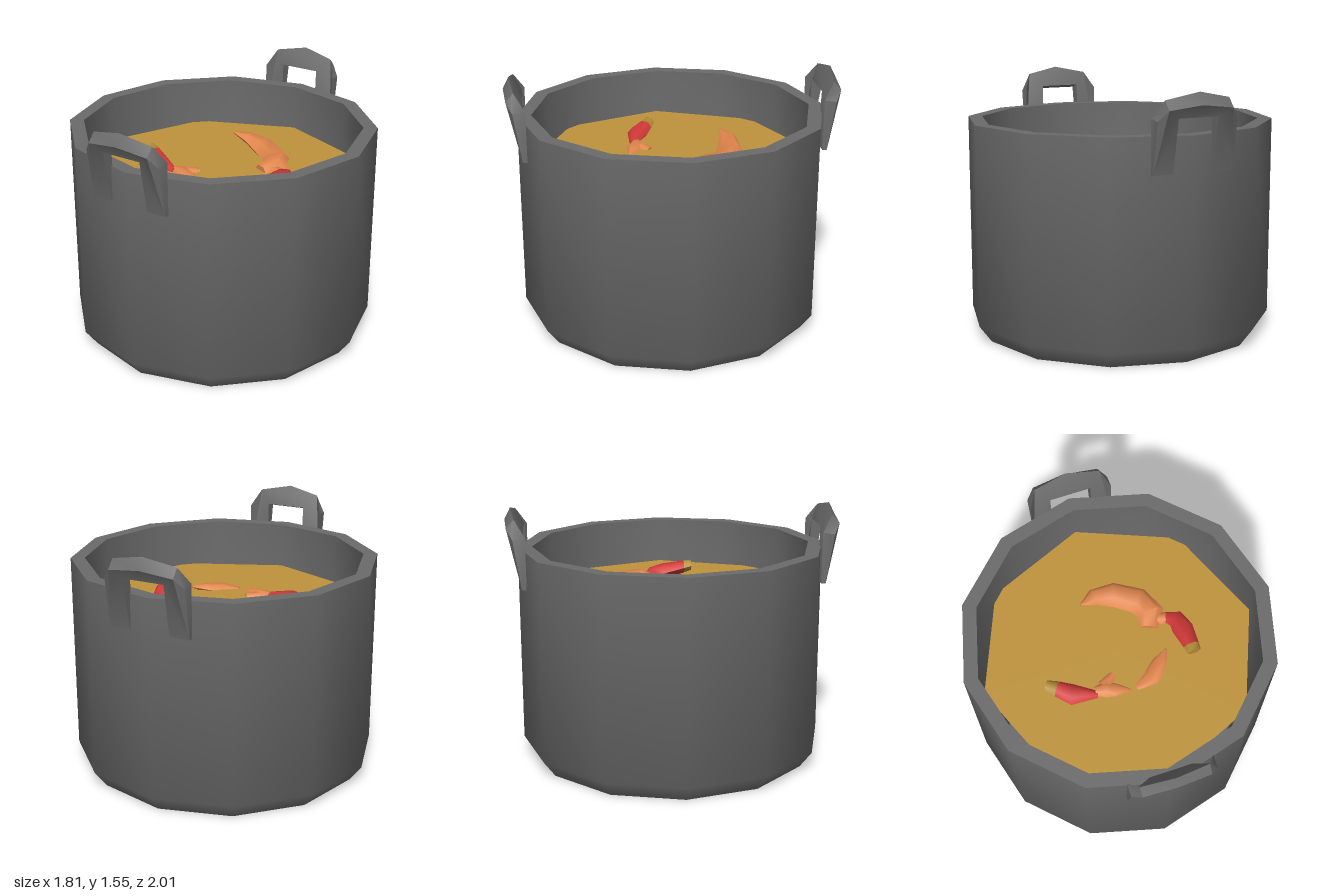
import * as THREE from 'three';
import { toCreasedNormals } from 'three/addons/utils/BufferGeometryUtils.js';

const makeMaterial = (name, color) => {
  const m = new THREE.MeshStandardMaterial({ color });
  m.name = name;
  return m;
};

// Low-poly tapered tube through stations [x, y, z, halfWidth, halfHeight], capped at both ends
function taperedTube(stations, sides = 6) {
  const pos = [], index = [];
  const n = stations.length;
  stations.forEach(([x, y, z, w, h], i) => {
    const p = stations[Math.max(0, i - 1)], q = stations[Math.min(n - 1, i + 1)];
    const t = new THREE.Vector3(q[0] - p[0], 0, q[2] - p[2]).normalize();
    for (let j = 0; j < sides; j++) {
      const a = (j / sides) * Math.PI * 2;
      const s = Math.cos(a) * w;
      pos.push(x - t.z * s, y + Math.sin(a) * h, z + t.x * s);
    }
  });
  for (let i = 0; i < n - 1; i++) {
    for (let j = 0; j < sides; j++) {
      const a = i * sides + j, b = i * sides + (j + 1) % sides;
      index.push(a, a + sides, b, b, a + sides, b + sides);
    }
  }
  // end caps
  const first = n * sides, last = first + 1, end = (n - 1) * sides;
  pos.push(...stations[0].slice(0, 3), ...stations[n - 1].slice(0, 3));
  for (let j = 0; j < sides; j++) {
    const k = (j + 1) % sides;
    index.push(first, j, k, last, end + k, end + j);
  }
  const g = new THREE.BufferGeometry();
  g.setAttribute('position', new THREE.Float32BufferAttribute(pos, 3));
  g.setIndex(index);
  g.computeVertexNormals();
  return toCreasedNormals(g, 1.1);
}

// Flat arch, then bent so that its upper part leans outwards
function handleGeometry() {
  const shape = new THREE.Shape([
    [-0.25, 1.1], [-0.125, 1.1], [-0.125, 1.43], [0.125, 1.43], [0.125, 1.1], [0.25, 1.1],
    [0.25, 1.41], [0.2, 1.51], [0, 1.55], [-0.2, 1.51], [-0.25, 1.41],
  ].map(([x, y]) => new THREE.Vector2(x, y)));
  const g = new THREE.ExtrudeGeometry(shape, { depth: 1, bevelEnabled: false });
  const p = g.attributes.position;
  for (let i = 0; i < p.count; i++) {
    const y = p.getY(i), lean = Math.max(0, y - 1.41);
    if (p.getZ(i) > 0.5) {
      p.setZ(i, 0.905 + (y - 1.1) * 0.15 + lean * 0.22);
      p.setY(i, y - Math.max(0, y - 1.38) * 0.41);
    } else {
      p.setZ(i, 0.878 + lean * 0.64);
    }
  }
  return toCreasedNormals(g, 0.6);
}

export function createModel() {
  const model = new THREE.Group();
  model.name = 'stewPot';
  const metal = makeMaterial('dark metal', 0x6b6b6b);
  const broth = makeMaterial('broth', 0xbf933c);
  const flesh = makeMaterial('orange flesh', 0xe0854c);
  const shell = makeMaterial('red shell', 0xd03838);
  const tip = makeMaterial('olive tip', 0xb08c36);

  const add = (parent, name, geometry, material) => {
    const mesh = new THREE.Mesh(geometry, material);
    mesh.name = name;
    parent.add(mesh);
    return mesh;
  };

  // Pot, handles and broth share one turn about the vertical axis
  const vessel = new THREE.Group();
  vessel.name = 'vessel';
  vessel.rotation.y = THREE.MathUtils.degToRad(17);
  model.add(vessel);

  const profile = [
    [0, 0], [0.855, 0], [0.93, 0.1], [0.93, 1.31],
    [0.845, 1.31], [0.845, 0.95], [0.77, 0.08], [0, 0.08],
  ].map(([x, y]) => new THREE.Vector2(x, y));
  add(vessel, 'potBody', toCreasedNormals(new THREE.LatheGeometry(profile, 12), 0.85), metal);

  const handle = handleGeometry();
  add(vessel, 'frontHandle', handle, metal);
  add(vessel, 'backHandle', handle, metal).rotation.y = Math.PI;

  const surface = add(vessel, 'brothSurface', new THREE.CircleGeometry(0.84, 8), broth);
  surface.rotation.x = -Math.PI / 2;
  surface.position.y = 1.03;

  // Large floating piece: curved body, shell and tip
  const large = new THREE.Group();
  large.name = 'largeSeafood';
  model.add(large);
  add(large, 'body', taperedTube([
    [-0.22, 1.13, -0.265, 0.006, 0.006], [-0.14, 1.1, -0.325, 0.055, 0.035],
    [-0.02, 1.06, -0.355, 0.08, 0.06], [0.13, 1.04, -0.32, 0.085, 0.06],
    [0.2, 1.04, -0.24, 0.085, 0.06], [0.19, 1.03, -0.145, 0.055, 0.035],
  ]), flesh);
  add(large, 'neck', taperedTube([
    [0.2, 1.03, -0.2, 0.04, 0.03], [0.3, 1.03, -0.21, 0.035, 0.03],
  ]), flesh);
  add(large, 'shell', taperedTube([
    [0.28, 1.03, -0.215, 0.03, 0.025], [0.35, 1.035, -0.2, 0.055, 0.045],
    [0.39, 1.05, -0.13, 0.065, 0.05], [0.435, 1.075, -0.01, 0.048, 0.04],
  ]), shell);
  add(large, 'tip', taperedTube([
    [0.435, 1.075, -0.01, 0.048, 0.04], [0.45, 1.085, 0.035, 0.042, 0.034],
  ]), tip);

  // Small piece, half sunk so that its body shows in two parts
  const small = new THREE.Group();
  small.name = 'smallSeafood';
  model.add(small);
  add(small, 'bodyEnd', taperedTube([
    [0.285, 1.05, 0.0, 0.006, 0.006], [0.245, 1.035, 0.08, 0.045, 0.03],
    [0.19, 1.025, 0.175, 0.055, 0.03], [0.1, 1.015, 0.235, 0.03, 0.02],
  ]), flesh);
  add(small, 'bodyMiddle', taperedTube([
    [0.07, 1.015, 0.25, 0.012, 0.02], [-0.02, 1.025, 0.245, 0.045, 0.025],
    [-0.08, 1.03, 0.24, 0.05, 0.03], [-0.145, 1.03, 0.25, 0.03, 0.025],
  ]), flesh);
  add(small, 'bodyLobe', taperedTube([
    [-0.09, 1.03, 0.22, 0.045, 0.025], [-0.04, 1.03, 0.145, 0.02, 0.015],
  ]), flesh);
  add(small, 'shell', taperedTube([
    [-0.13, 1.03, 0.27, 0.022, 0.02], [-0.28, 1.045, 0.272, 0.065, 0.045],
    [-0.37, 1.065, 0.24, 0.048, 0.038],
  ]), shell);
  add(small, 'tip', taperedTube([
    [-0.37, 1.065, 0.24, 0.048, 0.038], [-0.435, 1.08, 0.225, 0.036, 0.03],
  ]), tip);

  return model;
}
